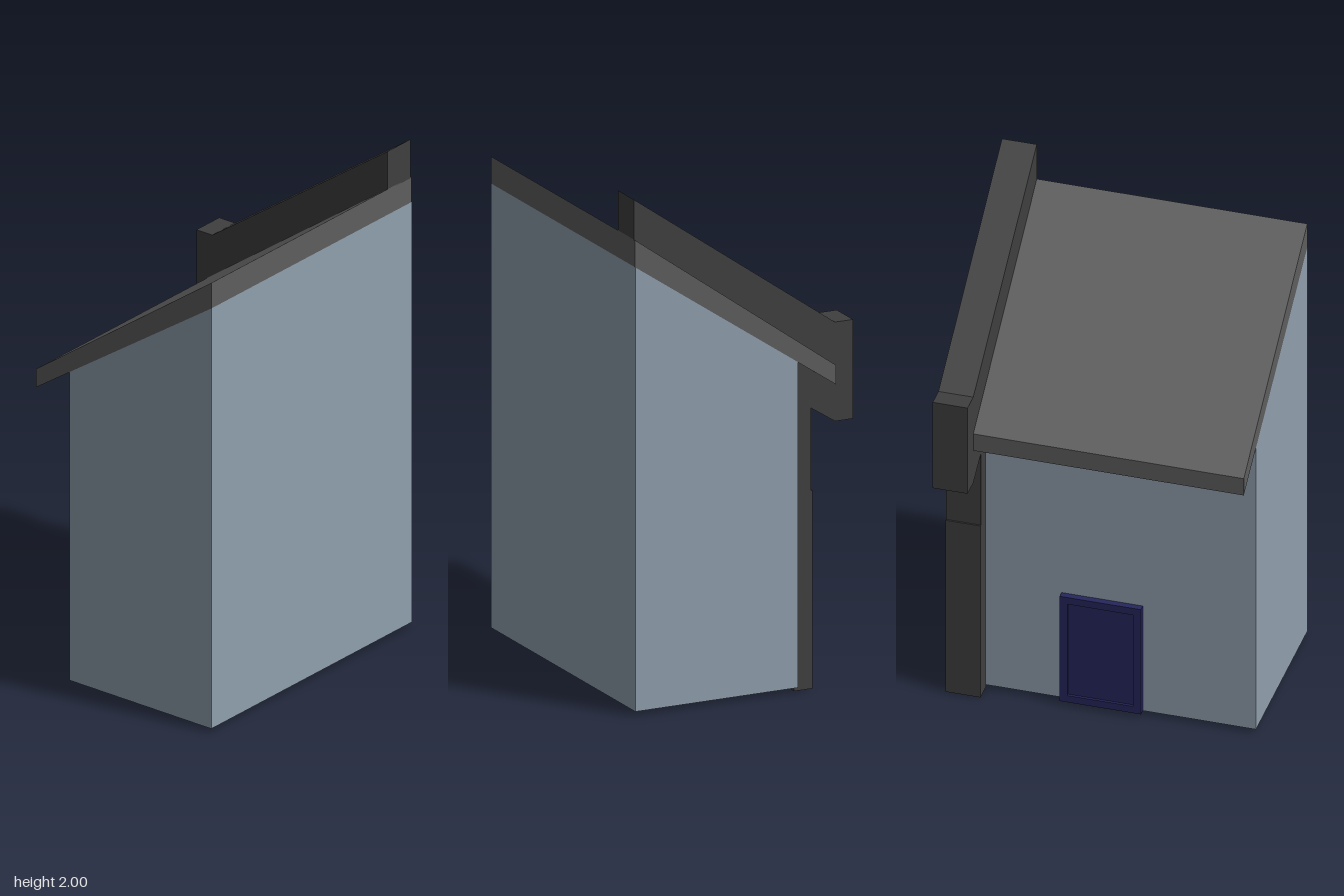
import * as THREE from 'three';

const mat = (color) => new THREE.MeshStandardMaterial({ color, flatShading: true });

// Extrudes a side profile of [z, y] points along x, from x0 to x1
function sideProfile(name, points, x0, x1, material) {
  const shape = new THREE.Shape(points.map(([z, y]) => new THREE.Vector2(-z, y)));
  const geo = new THREE.ExtrudeGeometry(shape, { depth: x1 - x0, bevelEnabled: false });
  geo.rotateY(Math.PI / 2);
  geo.translate(x0, 0, 0);
  const mesh = new THREE.Mesh(geo, material);
  mesh.name = name;
  return mesh;
}

// Door at the back: a raised frame around a recessed panel
function createDoor(material) {
  const door = new THREE.Group();
  door.name = 'door';
  const w = 0.315, h = 0.47, border = 0.03;
  const rect = (path, x0, y0, x1, y1) =>
    path.moveTo(x0, y0).lineTo(x1, y0).lineTo(x1, y1).lineTo(x0, y1).closePath();
  const shape = rect(new THREE.Shape(), -w / 2, 0, w / 2, h);
  shape.holes.push(rect(new THREE.Path(), -w / 2 + border, border, w / 2 - border, h - border));
  const frame = new THREE.Mesh(
    new THREE.ExtrudeGeometry(shape, { depth: 0.04, bevelEnabled: false }), material);
  frame.name = 'doorFrame';
  const panel = new THREE.Mesh(
    new THREE.BoxGeometry(w - 2 * border, h - 2 * border, 0.02), material);
  panel.name = 'doorPanel';
  panel.position.set(0, h / 2, 0.02);
  door.add(frame, panel);
  door.position.set(-0.002, 0.015, -0.246);
  return door;
}

export function createModel() {
  const model = new THREE.Group();
  model.name = 'house';
  const wall = mat(0x90a0ae);
  const roof = mat(0x5e5e5e);
  const trim = mat(0x3f3f3f);

  // Walls with a sloping top
  model.add(sideProfile('walls',
    [[0.455, 0.015], [-0.22, 0.015], [-0.22, 1.28], [0.455, 1.74]], -0.597, 0.595, wall));

  // Lean-to roof, overhanging at the back
  model.add(sideProfile('roof',
    [[0.455, 1.74], [-0.38, 1.17], [-0.38, 1.245], [0.455, 1.845]], -0.597, 0.592, roof));

  // Raised end beam with its block at the eaves
  model.add(sideProfile('parapet',
    [[0.455, 1.84], [0.43, 1.6], [-0.21, 1.14], [-0.28, 1.09], [-0.38, 1.025],
      [-0.455, 1.025], [-0.455, 1.41], [-0.38, 1.41], [0.455, 2]], 0.45, 0.585, trim));

  // Column carrying the beam, slightly thicker in its lower part
  model.add(sideProfile('column',
    [[-0.21, 0], [-0.286, 0], [-0.286, 0.77], [-0.28, 0.77], [-0.28, 1.1], [-0.21, 1.15]],
    0.45, 0.585, trim));

  model.add(createDoor(mat(0x26265c)));
  return model;
}
